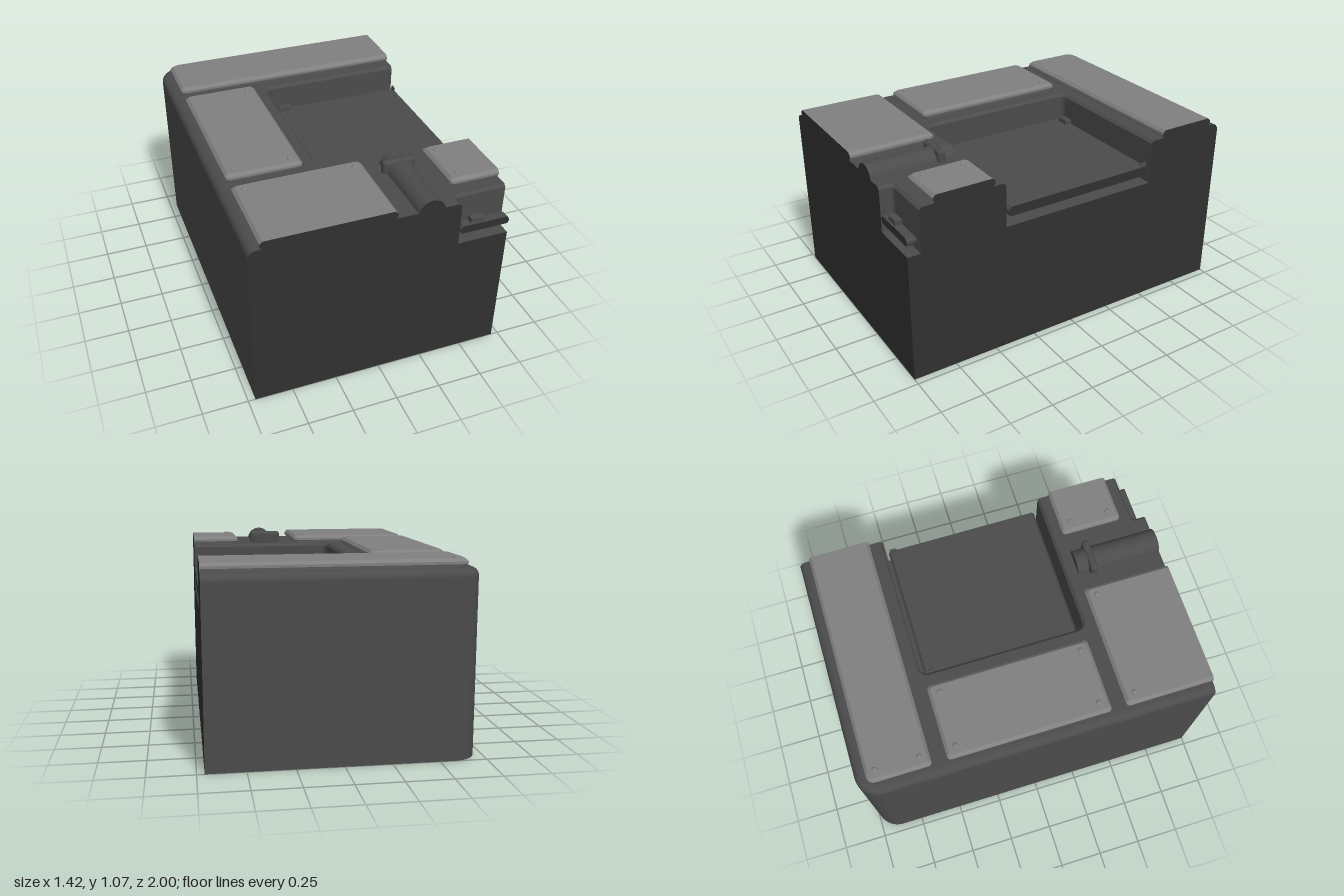
import * as THREE from 'three';
import { RoundedBoxGeometry } from 'three/addons/geometries/RoundedBoxGeometry.js';

const X = 0.71, Z = 1, FLOOR = 0.745, ROUND = 0.045, LIP = 0.015;
const mat = (name, color) => Object.assign(new THREE.MeshStandardMaterial({ color }), { name });

// Points [x, z] on an arc, angles in quarter turns
function arc(cx, cz, r, q0, q1, n = 6) {
  if (r <= 0) return [[cx, cz]];
  return Array.from({ length: n + 1 }, (_, i) => {
    const a = (q0 + (q1 - q0) * i / n) * Math.PI / 2;
    return [cx + r * Math.cos(a), cz + r * Math.sin(a)];
  });
}

// Skin between rows of [x, z] points; each row is { pts, y }, from low to high
function loft(rows, smooth) {
  const n = rows[0].pts.length, pos = [], idx = [];
  rows.forEach(({ pts, y }) => pts.forEach(([x, z]) => pos.push(x, y, z)));
  for (let j = 0; j < rows.length - 1; j++) for (let i = 0; i < n - 1; i++) {
    const a = j * n + i, d = a + n;
    idx.push(a, a + 1, d + 1, a, d + 1, d);
  }
  let g = new THREE.BufferGeometry();
  g.setAttribute('position', new THREE.Float32BufferAttribute(pos, 3));
  g.setIndex(idx);
  if (!smooth) g = g.toNonIndexed();
  g.computeVertexNormals();
  return g;
}

const face = pts => new THREE.ShapeGeometry(new THREE.Shape(pts.map(p => new THREE.Vector2(p[0], p[1]))));
const level = (pts, y) => face(pts.map(([x, z]) => [x, -z])).rotateX(-Math.PI / 2).translate(0, y, 0);

// Plan outlines: t insets the block, or widens a pit
const blockPath = t => [[X, -Z + t], ...arc(-0.58, -0.87, 0.13 - t, -1, -2, 12), [-X + t, Z]];
const pitPath = t => [[X, 0.437 + t], ...arc(-0.1, 0.397, 0.04 + t, 1, 2),
  ...arc(-0.1, -0.467, 0.04 + t, 2, 3), [X, -0.507 - t]];
const notchPath = t => [[0.42 - t, Z], ...arc(0.44, 0.945, 0.02 + t, 2, 3), [X, 0.925 - t]];

// Rounded rectangle; the sectioned side (cut = 'x' or 'z') closes the path and stays flush
function plateOutline({ x0, x1, z0, z1, cut, r = 0.02, rBack = r }, t) {
  const a = x0 + t, b = cut === 'x' ? x1 : x1 - t;
  const c = z0 + t, d = cut === 'z' ? z1 : z1 - t;
  const back = cut === 'x' ? 0 : r, front = cut === 'z' ? 0 : r;
  const fr = cut ? 0 : r;
  const BR = arc(b - back, c + back, back, 0, -1, 3);
  const BL = arc(a + rBack, c + rBack, rBack, -1, -2, 4);
  const FL = arc(a + front, d - front, front, -2, -3, 3);
  const FR = arc(b - fr, d - fr, fr, -3, -4, 3);
  return cut === 'z' ? [...FR, ...BR, ...BL, ...FL] : [...BR, ...BL, ...FL, ...FR];
}

export function createModel() {
  const model = new THREE.Group();
  const body = mat('charcoal', 0x4b4b4b);
  const panel = mat('grey', 0x808080);
  const section = mat('dark section', 0x303030);
  const add = (name, geo, m, parent = model) => {
    const mesh = new THREE.Mesh(geo, m);
    mesh.name = name;
    parent.add(mesh);
    return mesh;
  };

  // Rounded top edge, as [inset, height]
  const edge = Array.from({ length: 7 }, (_, i) => {
    const a = i / 6 * Math.PI / 2;
    return [ROUND * (1 - Math.cos(a)), 1 - ROUND + ROUND * Math.sin(a)];
  });

  // Block: outer skin, top and underside
  add('outerWall', loft([[0, 0], ...edge].map(([t, y]) => ({ pts: blockPath(t), y })), true), body);
  add('topDeck', level([...blockPath(ROUND), ...notchPath(LIP), ...pitPath(LIP)], 1), body);
  add('underside', face([...blockPath(0), [X, Z]]).rotateX(Math.PI / 2), section);

  // Flat sectioned faces at the front and right
  add('frontSection', face([...edge.map(([t, y]) => [-X + t, y]), [0.42 - LIP, 1], [0.42, 1 - LIP],
    [0.42, FLOOR], [X, FLOOR], [X, 0], [-X, 0]]).translate(0, 0, Z), section);
  add('rightSection', face([[-Z, 0], [-Z, FLOOR], [-0.925, FLOOR], [-0.925, 1 - LIP], [-0.925 + LIP, 1],
    [-0.437 - LIP, 1], [-0.437, 1 - LIP], [-0.437, FLOOR], [0.507, FLOOR], [0.507, 1 - LIP],
    [0.507 + LIP, 1], ...edge.map(([t, y]) => [Z - t, y]).reverse(), [Z, 0]])
    .rotateY(Math.PI / 2).translate(X, 0, 0), section);

  // Recesses with bevelled lips
  for (const [name, path, corner] of [['pit', pitPath, []], ['frontNotch', notchPath, [[X, Z]]]]) {
    add(name + 'Walls', loft([{ pts: path(0), y: FLOOR }, { pts: path(0), y: 1 - LIP }], true), body);
    add(name + 'Lip', loft([{ pts: path(0), y: 1 - LIP }, { pts: path(LIP), y: 1 }], true), body);
    add(name + 'Floor', level([...path(0), ...corner], FLOOR), body);
  }

  // Bevelled plate, dark where it is sectioned
  function plate(name, o, y, h, bevel, m) {
    const g = new THREE.Group();
    g.name = name;
    model.add(g);
    const rows = [[bevel * 0.6, 0], [0, 0.35], [0, 0.65], [bevel, 1]]
      .map(([t, k]) => ({ pts: plateOutline(o, t), y: y + h * k }));
    const closing = rows.map(({ pts, y }) => ({ pts: [pts[pts.length - 1], pts[0]], y }));
    add('plateRim', loft(rows), m, g);
    add('plateEnd', loft(closing), o.cut ? section : m, g);
    add('plateTop', level(rows[3].pts, y + h), m, g);
    return g;
  }

  // Raised deck panels with rivets
  const rivet = new THREE.SphereGeometry(0.016, 12, 6, 0, Math.PI * 2, 0, Math.PI / 2).scale(1, 0.6, 1);
  const panels = [
    ['backPanel', { x0: -0.65, x1: X, z0: -0.935, z1: -0.585, cut: 'x', rBack: 0.04 },
      [[-0.59, -0.88], [-0.59, -0.64]]],
    ['sidePanel', { x0: -0.65, x1: -0.225, z0: -0.5, z1: 0.417 },
      [[-0.59, -0.44], [-0.28, -0.44], [-0.59, 0.36], [-0.28, 0.36]]],
    ['frontPanel', { x0: -0.65, x1: 0.065, z0: 0.5, z1: Z, cut: 'z' }, [[-0.59, 0.56], [0.01, 0.56]]],
    ['cornerPanel', { x0: 0.43, x1: X, z0: 0.5, z1: 0.85, cut: 'x' }, [[0.49, 0.56], [0.49, 0.79]]],
  ];
  for (const [name, o, rivets] of panels) {
    const g = plate(name, o, 1, 0.045, 0.016, panel);
    for (const [x, z] of rivets) add('rivet', rivet, panel, g).position.set(x, 1.045, z);
  }

  // Hatch slabs in the recesses, with small hinge blocks
  plate('hatchSlab', { x0: -0.125, x1: X, z0: -0.49, z1: 0.42, cut: 'x', r: 0.015 }, 0.8, 0.055, 0.015, body);
  plate('notchSlab', { x0: 0.43, x1: X, z0: 0.94, z1: Z, cut: 'z', r: 0.01 }, 0.805, 0.045, 0.012, body);
  for (const [x, z, w] of [[-0.04, -0.46, 0.08], [0.705, -0.46, 0.01], [0.53, 0.97, 0.08]])
    add('hinge', new RoundedBoxGeometry(w, 0.045, 0.04, 2, 0.005), body).position.set(x, 0.858, z);

  // Half-sunk pipe with its collar
  add('pipe', new THREE.CylinderGeometry(0.076, 0.076, 0.489, 32).rotateX(Math.PI / 2), body)
    .position.set(0.25, 0.985, 0.7545);
  add('pipeSection', new THREE.CircleGeometry(0.076, 32), section).position.set(0.25, 0.985, Z + 0.001);
  add('pipeCollar', new RoundedBoxGeometry(0.19, 0.1, 0.045, 3, 0.02), body).position.set(0.247, 1.02, 0.597);

  return model;
}
